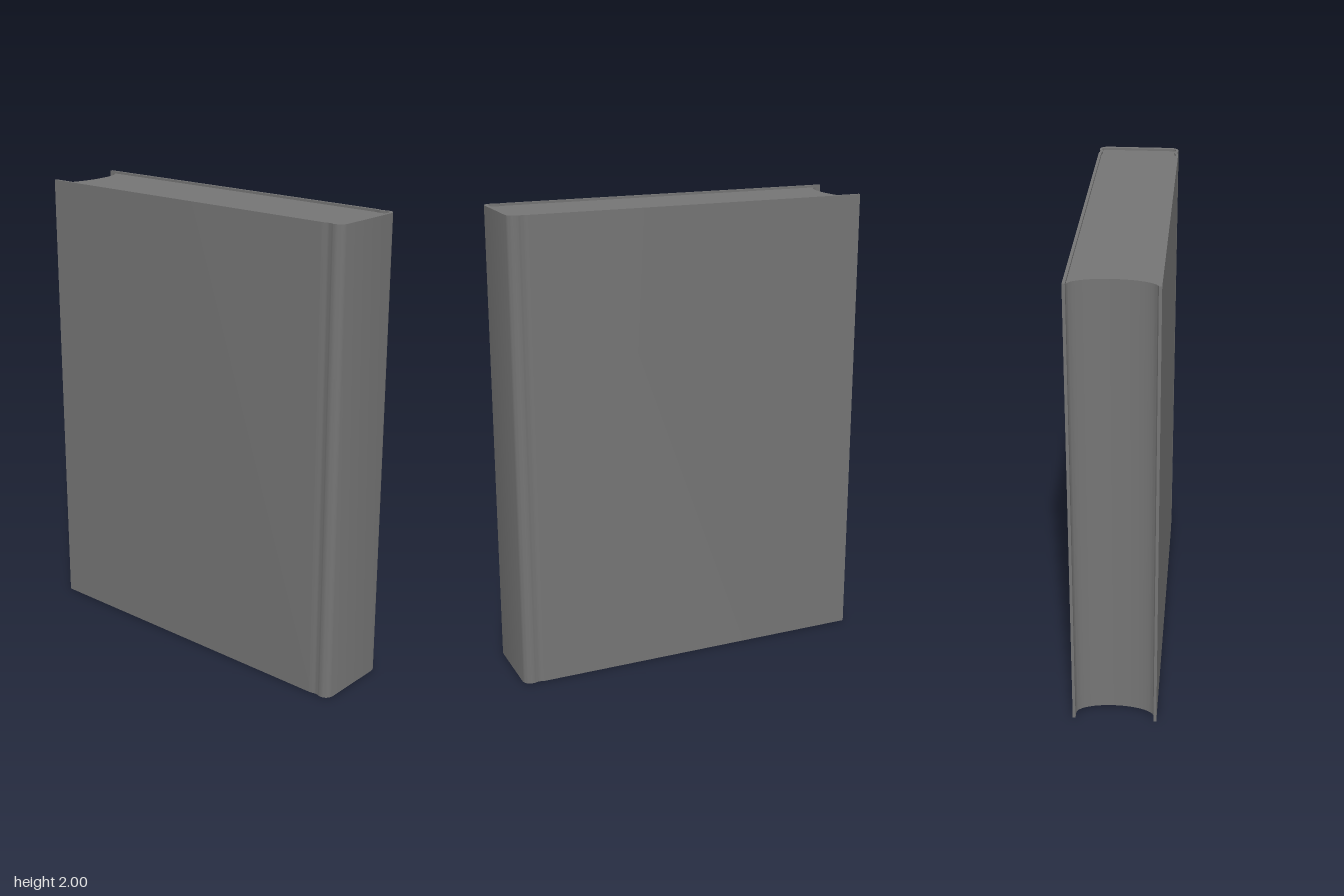
import * as THREE from 'three';
import { toCreasedNormals } from 'three/addons/utils/BufferGeometryUtils.js';

const HEIGHT = 2, BOARD = 0.012, RECESS = 0.01;
const HALF_W = 0.178, FORE_Z = -0.783, SPINE_Z = 0.783;

// Right half of the case in plan (x, z), inset by t: board, shallow hinge groove, rounded spine corner
function halfOutline(t, startZ) {
  const x = HALF_W - t, groove = x - 0.005, spine = SPINE_Z - t * 1.4;
  const path = new THREE.Path();
  path.moveTo(x, startZ);
  path.lineTo(x, 0.685);
  path.bezierCurveTo(x, 0.702, groove, 0.702, groove, 0.72);
  path.bezierCurveTo(groove, 0.732, x, 0.732, x, 0.746);
  path.bezierCurveTo(x, 0.766, x - 0.016, spine, x - 0.038, spine);
  return path.getPoints(8);
}

// Continue a right half with its mirror image on the left
function mirrored(points) {
  const left = points.map((p) => new THREE.Vector2(-p.x, p.y)).reverse();
  return [...points, ...left];
}

// Extrude a plan outline upwards from y = bottom
function upright(name, points, bottom, top, material) {
  const geometry = new THREE.ExtrudeGeometry(new THREE.Shape(points), {
    depth: top - bottom, bevelEnabled: false,
  });
  geometry.rotateX(Math.PI / 2);
  geometry.translate(0, top, 0);
  const mesh = new THREE.Mesh(toCreasedNormals(geometry, 0.6), material);
  mesh.name = name;
  return mesh;
}

export function createModel() {
  const group = new THREE.Group();
  group.name = 'book';
  const material = new THREE.MeshStandardMaterial({ color: 0x757575 });

  // Cover: two boards and the spine in one U-shaped case
  const outer = mirrored(halfOutline(0, FORE_Z));
  const inner = mirrored(halfOutline(BOARD, FORE_Z)).reverse();
  group.add(upright('cover', [...outer, ...inner], 0, HEIGHT, material));

  // Page block: fills the case, with a hollow curved fore edge
  const foreZ = -0.765, hollow = 0.06, halfPages = HALF_W - BOARD;
  const pages = mirrored(halfOutline(BOARD, foreZ));
  for (let i = 1; i < 32; i++) {
    const a = Math.PI * (1 - i / 32);
    pages.push(new THREE.Vector2(halfPages * Math.cos(a), foreZ + hollow * Math.sin(a)));
  }
  group.add(upright('pages', pages, RECESS, HEIGHT - RECESS, material));

  return group;
}
